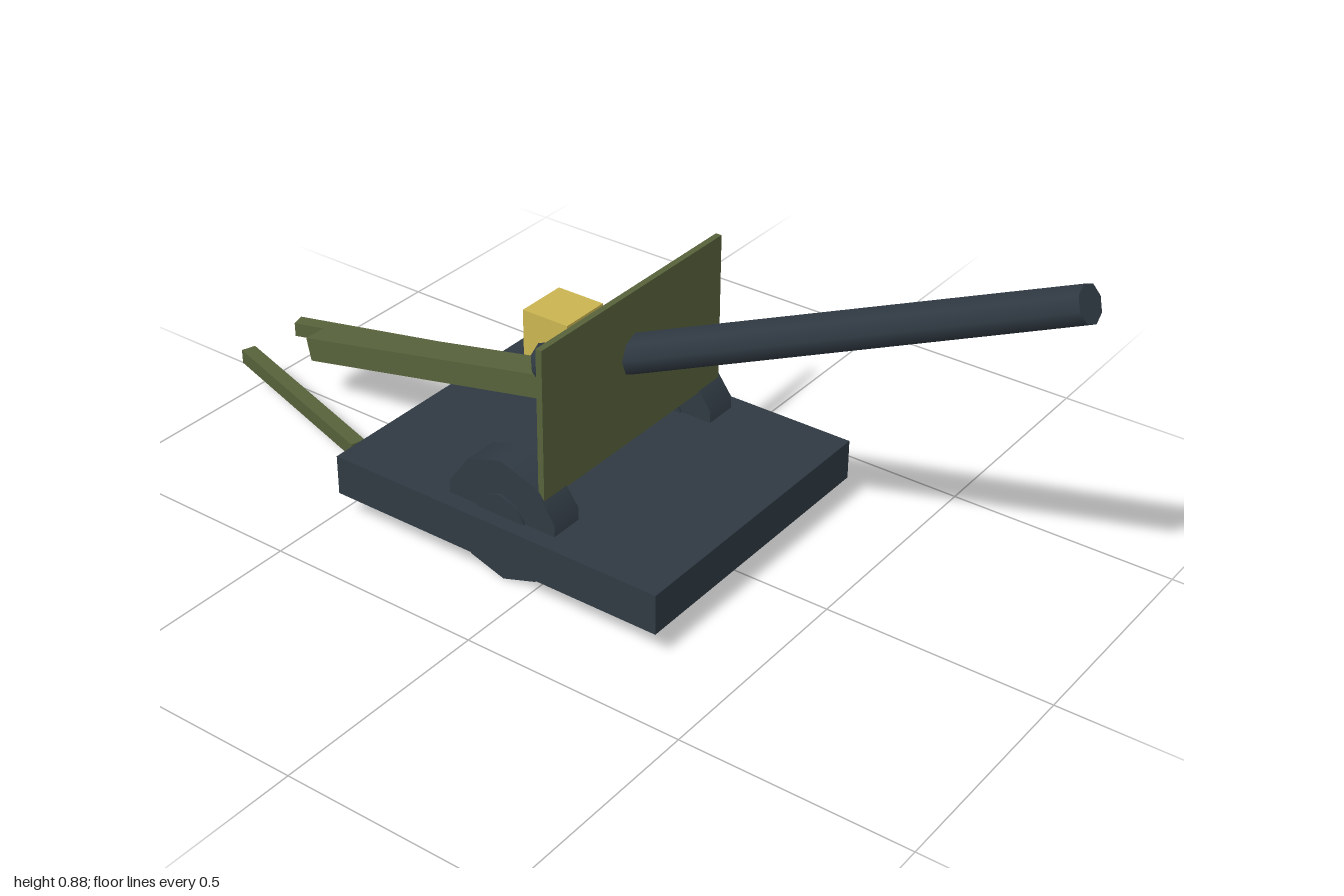
import * as THREE from 'three';

const steel = new THREE.MeshStandardMaterial({ color: 0x303a43 });
steel.name = 'gunmetal';
const olive = new THREE.MeshStandardMaterial({ color: 0x57623b });
olive.name = 'olive';
const yellow = new THREE.MeshStandardMaterial({ color: 0xcbb652 });
yellow.name = 'crateYellow';

export function createModel() {
  const model = new THREE.Group();
  model.name = 'fieldGun';

  const add = (name, geometry, material, x, y, z) => {
    const mesh = new THREE.Mesh(geometry, material);
    mesh.name = name;
    mesh.position.set(x, y, z);
    model.add(mesh);
    return mesh;
  };
  const box = (name, material, [w, h, d], [x, y, z]) =>
    add(name, new THREE.BoxGeometry(w, h, d), material, x, y, z);

  // Flat bed, shield and ammunition crate
  box('platform', steel, [0.68, 0.09, 0.81], [0, 0.11, -0.075]);
  box('shield', olive, [0.59, 0.34, 0.014], [0, 0.39, 0.022]);
  box('crate', yellow, [0.125, 0.155, 0.12], [0.217, 0.2325, -0.325]);

  // Barrel, tapering towards the raised muzzle
  const breech = new THREE.Vector3(0, 0.315, -0.2);
  const muzzle = new THREE.Vector3(0, 0.848, 0.985);
  const axis = muzzle.clone().sub(breech);
  const barrel = add('barrel', new THREE.CylinderGeometry(0.0375, 0.045, axis.length(), 8), steel, 0, 0, 0);
  barrel.position.addVectors(breech, muzzle).multiplyScalar(0.5);
  barrel.rotation.x = Math.atan2(axis.z, axis.y);

  // Central trail sloping down to the rear
  const trail = box('trail', olive, [0.076, 0.055, 0.805], [0, 0.225, -0.45]);
  trail.rotation.x = -0.208;

  // Wheels, hubs and rear legs on both sides
  for (const side of [1, -1]) {
    const label = side > 0 ? 'left' : 'right';
    const disc = (name, radius, width) => {
      const g = new THREE.CylinderGeometry(radius, radius, width, 10, 1, false, Math.PI / 2);
      add(label + name, g.rotateZ(Math.PI / 2), steel, side * 0.263, 0.14, -0.075);
    };
    disc('Wheel', 0.14, 0.077);
    disc('Hub', 0.063, 0.088);

    const leg = box(label + 'Leg', olive, [0.033, 0.033, 0.487], [side * 0.153, 0.097, -0.76]);
    leg.rotation.y = side * 0.305;
  }
  return model;
}
